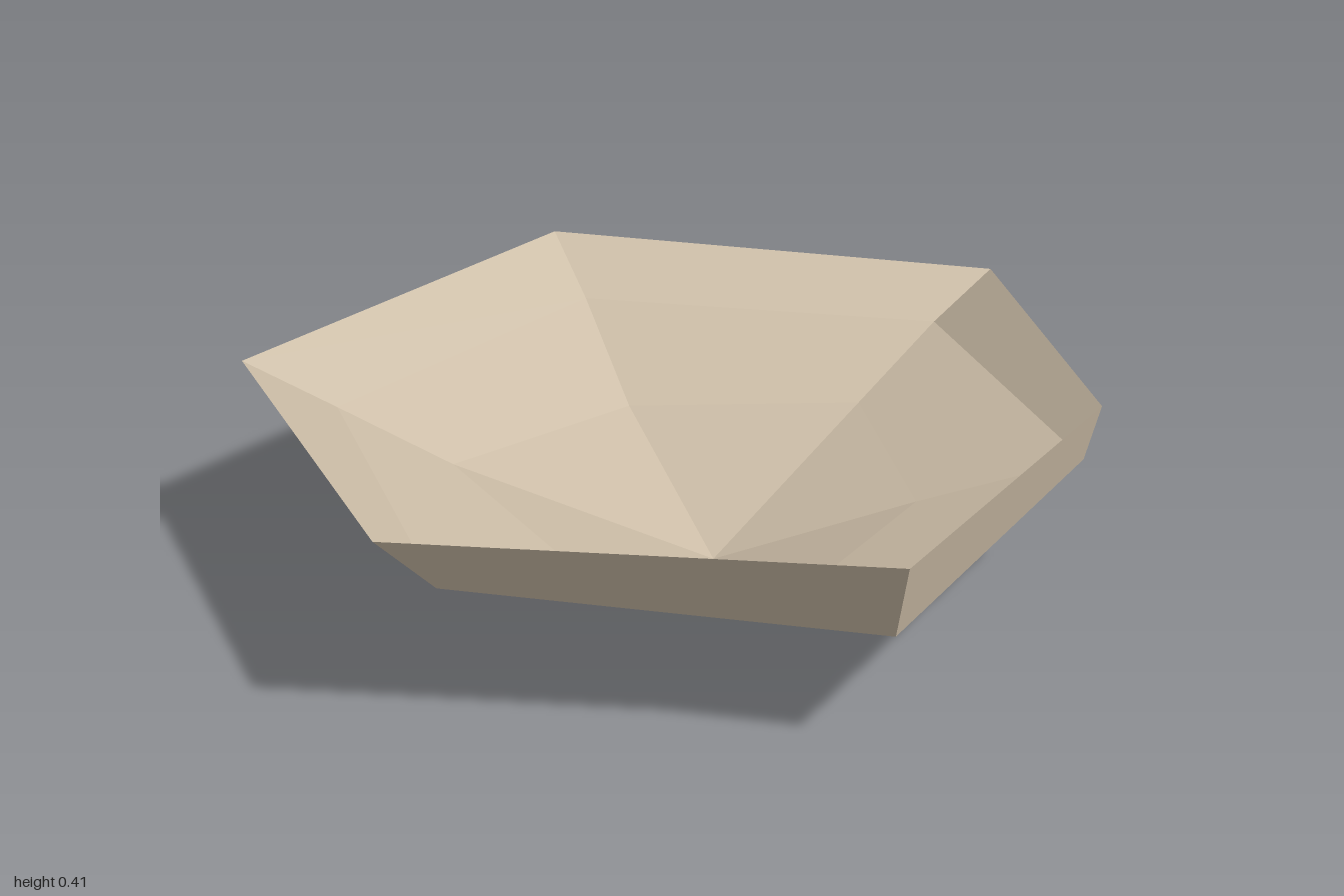
import * as THREE from 'three';

// Rings of six corners, running from +x towards the back
const inner = [[0.49, 0.185, 0.01], [0.23, 0.15, -0.42], [-0.29, 0.18, -0.46],
  [-0.49, 0.185, 0.01], [-0.28, 0.17, 0.45], [0.21, 0.15, 0.36]];
const middle = [[0.77, 0.287, 0.01], [0.38, 0.297, -0.67], [-0.41, 0.293, -0.67],
  [-0.84, 0.25, 0.01], [-0.47, 0.25, 0.79], [0.36, 0.275, 0.66]];
const rim = [[0.99, 0.347, 0.01], [0.46, 0.398, -0.83], [-0.51, 0.385, -0.84],
  [-1.0, 0.405, 0.01], [-0.49, 0.405, 0.83], [0.37, 0.395, 0.69]];
const base = Array(6).fill([-0.015, 0, 0.01]);

// Faceted band between two rings; each facet has one flat normal, facing up
function band(lower, upper) {
  const positions = [], normals = [];
  for (let i = 0; i < 6; i++) {
    const j = (i + 1) % 6;
    const [a, b, c, d] = [lower[i], lower[j], upper[j], upper[i]].map(p => new THREE.Vector3(...p));
    const normal = c.clone().sub(a).cross(d.clone().sub(b)).normalize();
    const corners = lower === base ? [a, c, d] : [a, b, c, a, c, d];
    for (const p of corners) {
      positions.push(p.x, p.y, p.z);
      normals.push(normal.x, normal.y, normal.z);
    }
  }
  const geometry = new THREE.BufferGeometry();
  geometry.setAttribute('position', new THREE.Float32BufferAttribute(positions, 3));
  geometry.setAttribute('normal', new THREE.Float32BufferAttribute(normals, 3));
  return geometry;
}

export function createModel() {
  const group = new THREE.Group();
  group.name = 'facetedBowl';
  const sand = new THREE.MeshStandardMaterial({ color: 0xcbbca6, side: THREE.DoubleSide });
  sand.name = 'sand';

  // Pointed base, sloping bowl and outer wall
  const parts = [['base', base, inner], ['bowl', inner, middle], ['wall', middle, rim]];
  for (const [name, lower, upper] of parts) {
    const mesh = new THREE.Mesh(band(lower, upper), sand);
    mesh.name = name;
    group.add(mesh);
  }
  return group;
}
